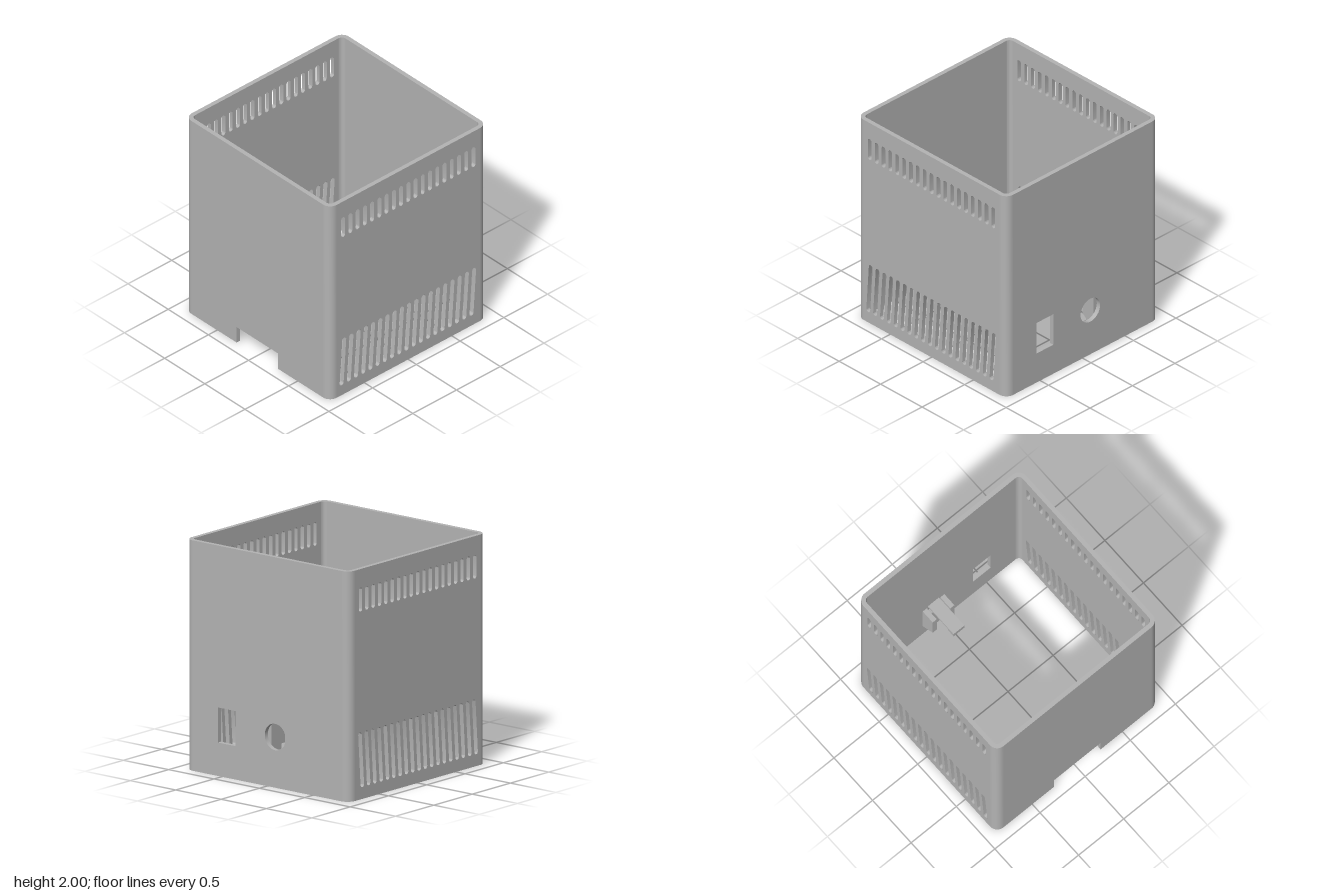
import * as THREE from 'three';
import { toCreasedNormals } from 'three/addons/utils/BufferGeometryUtils.js';

const H = 2, OUT = 0.9, WALL = 0.04, R = 0.08;
const FLAT = OUT - R; // half width of the flat part of each wall
const IN = OUT - WALL;

// Outline from a list of corner points
const polygon = (points, Kind = THREE.Shape) =>
  new Kind(points.map(([x, y]) => new THREE.Vector2(x, y)));

const rectangle = (x0, x1, y0, y1, Kind) =>
  polygon([[x0, y0], [x1, y0], [x1, y1], [x0, y1]], Kind);

// Round-ended slot between two end centres
function slot(bx, by, tx, ty, r) {
  const a = Math.atan2(ty - by, tx - bx) - Math.PI / 2;
  const path = new THREE.Path();
  path.absarc(tx, ty, r, a, a + Math.PI);
  path.absarc(bx, by, r, a + Math.PI, a + 2 * Math.PI);
  path.closePath();
  return path;
}

// Wall panel, without the side ends that meet the corners
function wallGeometry(shape) {
  const extruded = new THREE.ExtrudeGeometry(shape, { depth: WALL, bevelEnabled: false, curveSegments: 20 });
  const p = extruded.index ? extruded.toNonIndexed().attributes.position : extruded.attributes.position;
  const kept = [];
  for (let i = 0; i < p.count; i += 3) {
    const xs = [0, 1, 2].map((k) => p.getX(i + k));
    const isEnd = xs.every((x) => x > FLAT - 1e-4) || xs.every((x) => x < -FLAT + 1e-4);
    if (isEnd) continue;
    for (let k = 0; k < 3; k++) kept.push(p.getX(i + k), p.getY(i + k), p.getZ(i + k));
  }
  const geometry = new THREE.BufferGeometry();
  geometry.setAttribute('position', new THREE.Float32BufferAttribute(kept, 3));
  geometry.computeVertexNormals();
  return toCreasedNormals(geometry, Math.PI / 6);
}

export function createModel() {
  const model = new THREE.Group();
  model.name = 'ventilatedEnclosure';
  const grey = new THREE.MeshStandardMaterial({ color: 0xb3b3b3 });
  grey.name = 'grey plastic';

  const add = (name, geometry, x = 0, y = 0, z = 0, turn = 0) => {
    const mesh = new THREE.Mesh(geometry, grey);
    mesh.name = name;
    mesh.position.set(x, y, z);
    mesh.rotation.y = turn;
    model.add(mesh);
  };
  const box = (name, x0, x1, y0, y1, z0, z1) =>
    add(name, new THREE.BoxGeometry(x1 - x0, y1 - y0, z1 - z0),
      (x0 + x1) / 2, (y0 + y1) / 2, (z0 + z1) / 2);

  // Front wall with the cable notch
  const front = polygon([[-FLAT, 0], [-0.257, 0], [-0.257, 0.16], [0.257, 0.16],
    [0.257, 0], [FLAT, 0], [FLAT, H], [-FLAT, H]]);
  add('frontWall', wallGeometry(front), 0, 0, IN);

  // Back wall with a square and a round socket opening
  const back = rectangle(-FLAT, FLAT, 0, H);
  back.holes.push(rectangle(0.346, 0.542, 0.29, 0.595, THREE.Path));
  const round = new THREE.Path();
  round.absarc(-0.09, 0.44, 0.115, 0, 2 * Math.PI);
  back.holes.push(round);
  add('backWall', wallGeometry(back), 0, 0, -OUT);

  // Side walls with upright vents above and leaning vents below
  const side = rectangle(-FLAT, FLAT, 0, H);
  for (let i = 0; i < 19; i++) {
    const upper = -0.745 + i * 0.0828, lower = -0.7475 + i * 0.0825;
    side.holes.push(slot(upper, 1.654, upper, 1.816, 0.022));
    side.holes.push(slot(lower - 0.015, 0.126, lower + 0.015, 0.56, 0.023));
  }
  const sideGeometry = wallGeometry(side);
  add('leftWall', sideGeometry, IN, 0, 0, Math.PI / 2);
  add('rightWall', sideGeometry, -OUT, 0, 0, Math.PI / 2);

  // Rounded corners
  const profile = [[R, 0], [R, H], [R - WALL, H], [R - WALL, 0], [R, 0]]
    .map(([x, y]) => new THREE.Vector2(x, y));
  for (let i = 0; i < 4; i++) {
    const start = i * Math.PI / 2, middle = start + Math.PI / 4;
    const corner = new THREE.LatheGeometry(profile, 12, start, Math.PI / 2);
    add('corner', toCreasedNormals(corner, Math.PI / 6),
      FLAT * Math.SQRT2 * Math.sin(middle), 0, FLAT * Math.SQRT2 * Math.cos(middle));
  }

  // Socket holder: top clip with a hooked end, and a rail on each side
  box('clipArm', -0.15, -0.03, 0.55, 0.575, -IN, -0.53);
  box('clipHook', -0.15, -0.03, 0.52, 0.55, -0.6, -0.53);
  const rail = polygon([[IN, 0.19], [IN, 0.55], [0.73, 0.55], [0.73, 0.3]]);
  const railGeometry = new THREE.ExtrudeGeometry(rail, { depth: 0.045, bevelEnabled: false });
  for (const x of [-0.21, -0.015]) add('socketRail', railGeometry, x, 0, 0, Math.PI / 2);

  // Small catch above the notch
  box('frontCatch', -0.08, 0.08, 0.17, 0.21, 0.83, IN);

  return model;
}
